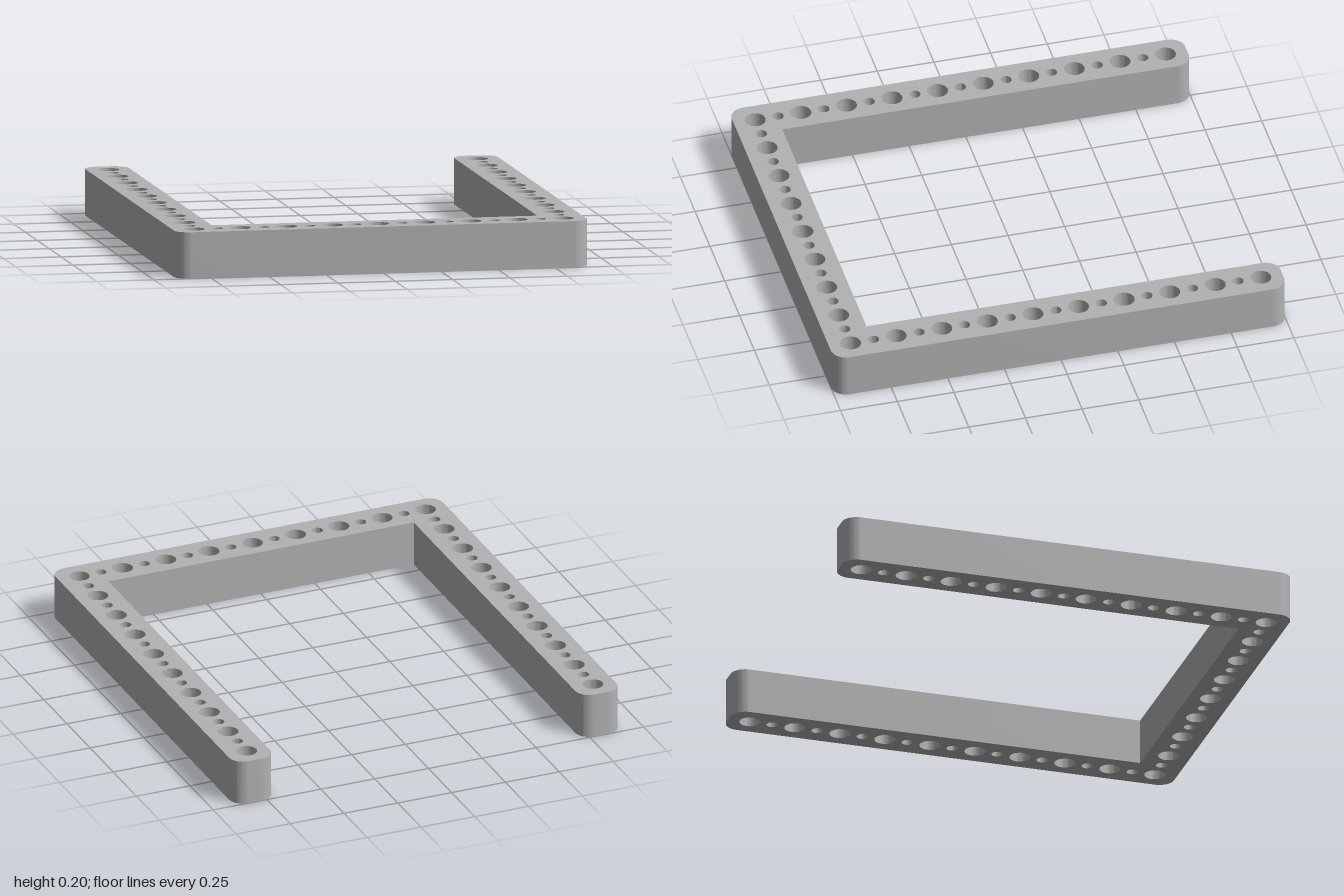
import * as THREE from 'three';
import { toCreasedNormals } from 'three/addons/utils/BufferGeometryUtils.js';

const PITCH = 0.2011;     // spacing of the large holes
const HALF = 0.095;       // half the beam width
const X = PITCH * 4;      // centre line of the side arms
const Z = PITCH * 4.5;    // centre line of the cross beam
const HEIGHT = 0.2;
const CORNER = 0.065;

export function createModel() {
  const group = new THREE.Group();
  const grey = new THREE.MeshStandardMaterial({ color: 0xb2b2b2 });
  grey.name = 'grey';

  // U-shaped outline, drawn flat with shape y = -z
  const xo = X + HALF, xi = X - HALF, front = -Z - HALF, back = Z + HALF, inner = -Z + HALF;
  const r = CORNER;
  const shape = new THREE.Shape();
  const corner = (cx, cy, start) => shape.absarc(cx, cy, r, start, start + Math.PI / 2, false);
  corner(-xo + r, front + r, Math.PI);
  corner(xo - r, front + r, -Math.PI / 2);
  corner(xo - r, back - r, 0);
  corner(xi + r, back - r, Math.PI / 2);
  shape.lineTo(xi, inner);
  shape.lineTo(-xi, inner);
  corner(-xi - r, back - r, 0);
  corner(-xo + r, back - r, Math.PI / 2);
  shape.closePath();

  // Through holes, alternating large and small
  const addHole = (x, y, i) => {
    const hole = new THREE.Path();
    hole.absarc(x, y, i % 2 ? 0.0245 : 0.045, 0, Math.PI * 2, true);
    shape.holes.push(hole);
  };
  for (let i = 0; i <= 18; i++) {
    for (const side of [-1, 1]) addHole(side * X, -Z + i * PITCH / 2, i);
  }
  for (let i = 1; i < 16; i++) addHole(-X + i * PITCH / 2, -Z, i);

  const flat = new THREE.ExtrudeGeometry(shape, { depth: HEIGHT, bevelEnabled: false, curveSegments: 16 });
  flat.rotateX(-Math.PI / 2);
  const frame = new THREE.Mesh(toCreasedNormals(flat, 0.7), grey);
  frame.name = 'perforatedFrame';
  group.add(frame);
  return group;
}
